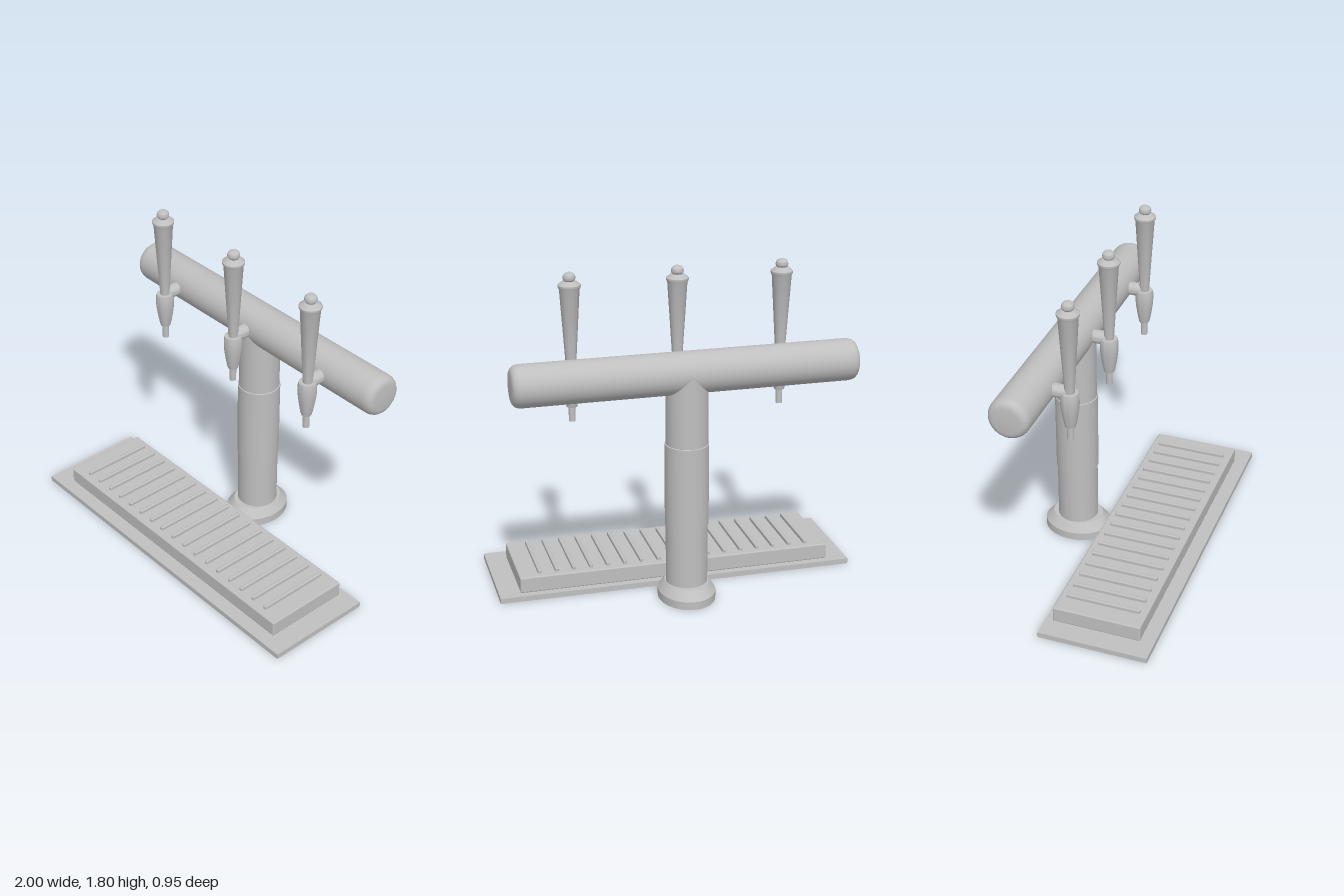
import * as THREE from 'three';
import { toCreasedNormals } from 'three/addons/utils/BufferGeometryUtils.js';
import { RoundedBoxGeometry } from 'three/addons/geometries/RoundedBoxGeometry.js';

const COLUMN_Z = -0.285;
const BAR_Y = 1.28;
const TAP_Z = -0.09;

export function createModel() {
  const model = new THREE.Group();
  model.name = 'drinkTower';
  const steel = new THREE.MeshStandardMaterial({ color: 0xbfbfbf });
  steel.name = 'brushedSteel';

  function add(parent, name, geometry, x = 0, y = 0, z = 0) {
    const mesh = new THREE.Mesh(geometry, steel);
    mesh.name = name;
    mesh.position.set(x, y, z);
    parent.add(mesh);
    return mesh;
  }

  // Turned part from [radius, height] points, bottom to top, with sharp edges kept
  function turned(points, segments = 48) {
    const profile = points.map(([r, y]) => new THREE.Vector2(r, y));
    return toCreasedNormals(new THREE.LatheGeometry(profile, segments), 0.45);
  }

  // Drip tray on its plate
  add(model, 'trayPlate', new THREE.BoxGeometry(2, 0.03, 0.61), 0, 0.015, 0.172);
  add(model, 'dripTray', new RoundedBoxGeometry(1.766, 0.09, 0.492, 2, 0.008), 0, 0.073, 0.154);
  for (let i = 0; i < 17; i++) {
    const x = (i - 8) * 0.096;
    add(model, 'trayRib', new RoundedBoxGeometry(0.02, 0.03, 0.415, 2, 0.006), x, 0.123, 0.152);
  }

  // Oval foot
  const foot = add(model, 'foot', turned([[0, 0], [0.19, 0], [0.19, 0.045], [0.145, 0.095], [0, 0.095]], 64), 0, 0, COLUMN_Z);
  foot.scale.x = 0.815;

  // Column with a slightly wider sleeve
  add(model, 'column', turned([
    [0.113, 0.08], [0.113, 0.43], [0.118, 0.432], [0.118, 0.888], [0.113, 0.89], [0.113, BAR_Y],
  ], 64), 0, 0, COLUMN_Z);

  // Crossbar with softly rounded ends
  const half = [[0.113, 0.88], [0.111, 0.897], [0.105, 0.912], [0.095, 0.923], [0.083, 0.929], [0.07, 0.931], [0, 0.931]];
  const barProfile = [...half.map(([r, y]) => [r, -y]).reverse(), ...half];
  const bar = add(model, 'crossbar', turned(barProfile, 64), 0, BAR_Y, COLUMN_Z);
  bar.rotation.z = Math.PI / 2;

  // Taps: spout, body, connector, tapered handle and knob
  const spout = turned([[0, 1], [0.018, 1], [0.018, 1.09]], 24);
  const body = turned([
    [0, 1.08], [0.028, 1.08], [0.034, 1.105], [0.041, 1.145], [0.047, 1.185],
    [0.05, 1.215], [0.05, 1.265], [0.046, 1.283], [0, 1.283],
  ], 32);
  const handle = turned([
    [0.025, 1.27], [0.053, 1.715], [0.06, 1.73], [0.06, 1.74], [0.035, 1.76], [0, 1.76],
  ], 32);
  const knob = turned([
    [0, 1.755], [0.024, 1.757], [0.032, 1.767], [0.034, 1.777],
    [0.031, 1.79], [0.022, 1.8], [0.01, 1.805], [0, 1.805],
  ], 32);
  const connector = turned([[0, 0], [0.022, 0], [0.037, 0.045], [0.037, 0.12], [0, 0.12]], 32);
  for (const x of [-0.575, 0, 0.575]) {
    const tap = new THREE.Group();
    tap.name = 'tap';
    tap.position.set(x, 0, TAP_Z);
    add(tap, 'spout', spout);
    add(tap, 'tapBody', body);
    add(tap, 'handle', handle);
    add(tap, 'knob', knob);
    add(tap, 'connector', connector, 0, BAR_Y, 0).rotation.x = -Math.PI / 2;
    model.add(tap);
  }
  return model;
}
